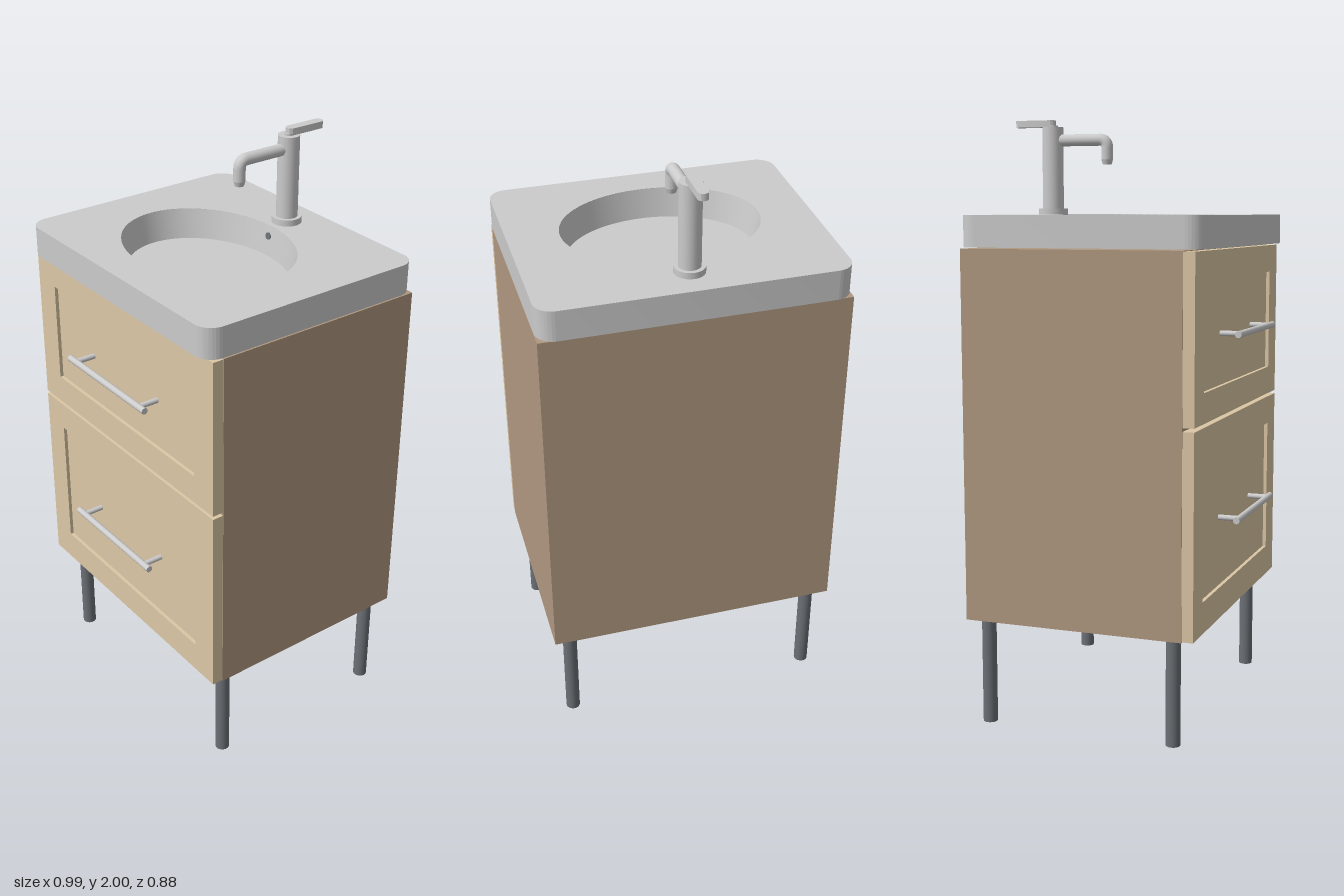
import * as THREE from 'three';
import { toCreasedNormals } from 'three/addons/utils/BufferGeometryUtils.js';

const grey = new THREE.MeshStandardMaterial({ color: 0xcccccc });
const basinGrey = new THREE.MeshStandardMaterial({ color: 0xcccccc, side: THREE.DoubleSide });
const frontWood = new THREE.MeshStandardMaterial({ color: 0xdcc7a5 });
const sideWood = new THREE.MeshStandardMaterial({ color: 0xb09880 });
const darkMetal = new THREE.MeshStandardMaterial({ color: 0x6b7075 });

function add(parent, name, geometry, material, x = 0, y = 0, z = 0) {
  const mesh = new THREE.Mesh(geometry, material);
  mesh.name = name;
  mesh.position.set(x, y, z);
  parent.add(mesh);
  return mesh;
}

function group(parent, name) {
  const g = new THREE.Group();
  g.name = name;
  parent.add(g);
  return g;
}

const rod = (r, h, rTop = r) => new THREE.CylinderGeometry(rTop, r, h, 32);

function roundedRect(w, h, r) {
  const s = new THREE.Shape();
  const x = w / 2, y = h / 2;
  s.absarc(x - r, y - r, r, 0, Math.PI / 2);
  s.absarc(-x + r, y - r, r, Math.PI / 2, Math.PI);
  s.absarc(-x + r, -y + r, r, Math.PI, Math.PI * 1.5);
  s.absarc(x - r, -y + r, r, Math.PI * 1.5, Math.PI * 2);
  s.closePath();
  return s;
}

// Extrudes a plan shape upwards (shape y becomes -z)
function slab(shape, thickness) {
  const g = new THREE.ExtrudeGeometry(shape, { depth: thickness, bevelEnabled: false, curveSegments: 32 });
  return toCreasedNormals(g.rotateX(-Math.PI / 2), 0.5);
}

// Shaker drawer front with recessed panel and bar handle
function addDrawer(parent, name, y0, y1, panel0, panel1, handleY) {
  const g = group(parent, name);
  const W = 0.493, P = 0.395;
  const frame = new THREE.Shape([[-W, y0], [W, y0], [W, y1], [-W, y1]].map(p => new THREE.Vector2(...p)));
  frame.holes.push(new THREE.Path([[-P, panel0], [-P, panel1], [P, panel1], [P, panel0]].map(p => new THREE.Vector2(...p))));
  add(g, 'drawerFrame', new THREE.ExtrudeGeometry(frame, { depth: 0.038, bevelEnabled: false }), frontWood, 0, 0, 0.33);
  add(g, 'drawerPanel', new THREE.BoxGeometry(2 * P, panel1 - panel0, 0.026), frontWood, 0, (panel0 + panel1) / 2, 0.343);

  const handle = group(g, 'handle');
  add(handle, 'handleBar', rod(0.011, 0.436).rotateZ(Math.PI / 2), grey, 0, handleY, 0.426);
  for (const s of [-1, 1]) {
    add(handle, 'handlePost', rod(0.009, 0.07).rotateX(Math.PI / 2), grey, s * 0.183, handleY, 0.39);
  }
}

function addFaucet(parent) {
  const g = group(parent, 'faucet');
  const z = -0.303;
  add(g, 'faucetBase', rod(0.05, 0.022), grey, 0, 1.69, z);
  add(g, 'faucetBody', rod(0.036, 0.28), grey, 0, 1.837, z);

  // Spout: horizontal arm with a tight bend down to the nozzle
  const path = new THREE.CurvePath();
  const v = (y, zz) => new THREE.Vector3(0, y, zz);
  path.add(new THREE.LineCurve3(v(1.932, z), v(1.932, -0.13)));
  path.add(new THREE.QuadraticBezierCurve3(v(1.932, -0.13), v(1.932, -0.103), v(1.905, -0.103)));
  path.add(new THREE.LineCurve3(v(1.905, -0.103), v(1.865, -0.103)));
  add(g, 'spout', new THREE.TubeGeometry(path, 60, 0.02, 24), grey);
  add(g, 'nozzle', rod(0.015, 0.017, 0.02), grey, 0, 1.8575, -0.103);

  // Lever with rounded ends on a short neck
  add(g, 'leverNeck', rod(0.017, 0.01), grey, 0, 1.978, z);
  add(g, 'lever', slab(roundedRect(0.034, 0.147, 0.0169), 0.023), grey, 0, 1.977, -0.3655);
}

export function createModel() {
  const model = new THREE.Group();
  model.name = 'bathroomVanity';

  // Cabinet and drawers
  add(model, 'cabinet', new THREE.BoxGeometry(0.99, 1.214, 0.743), sideWood, 0, 0.967, -0.0415);
  addDrawer(model, 'upperDrawer', 1.038, 1.572, 1.135, 1.478, 1.303);
  addDrawer(model, 'lowerDrawer', 0.363, 1.026, 0.467, 0.928, 0.698);

  // Legs
  for (const x of [-0.435, 0.435]) {
    for (const z of [-0.36, 0.285]) add(model, 'leg', rod(0.024, 0.362), darkMetal, x, 0.181, z);
  }

  // Countertop with oval opening
  const top = roundedRect(0.99, 0.815, 0.06);
  const opening = new THREE.Path();
  opening.absellipse(0, -0.0365, 0.327, 0.254, 0, Math.PI * 2, true);
  top.holes.push(opening);
  add(model, 'countertop', slab(top, 0.102), grey, 0, 1.578, -0.0155);

  // Basin: tapered oval wall, flat floor and overflow hole
  const basin = group(model, 'basin');
  const ratio = 0.254 / 0.327;
  const wall = new THREE.CylinderGeometry(0.327, 0.307, 0.1, 96, 1, true).scale(1, 1, ratio);
  add(basin, 'basinWall', wall, basinGrey, 0, 1.63, 0.021);
  const floor = new THREE.CircleGeometry(0.308, 96).rotateX(-Math.PI / 2).scale(1, 1, ratio);
  add(basin, 'basinFloor', floor, basinGrey, 0, 1.58, 0.021);
  add(basin, 'overflowHole', rod(0.012, 0.006).rotateX(Math.PI / 2 - 0.15), darkMetal, 0, 1.645, -0.227);

  addFaucet(model);
  return model;
}
